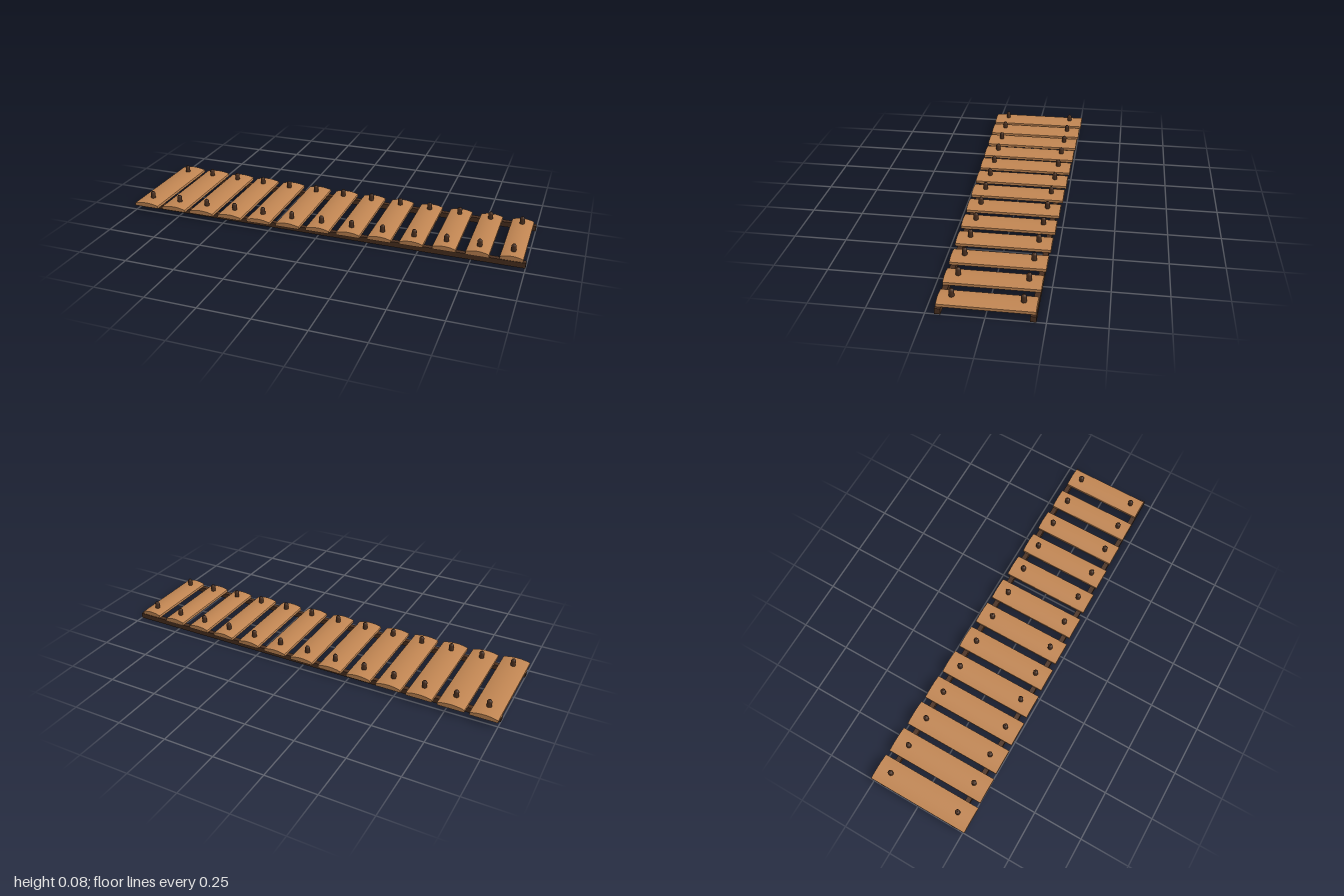
import * as THREE from 'three';

const COUNT = 13;
const lerp = THREE.MathUtils.lerp;

// Bar: flat underside, short straight sides and a gently crowned top
function barGeometry(width, length) {
  const w = width / 2, base = 0.027, side = 0.04, top = 0.05, steps = 24;
  const shape = new THREE.Shape();
  shape.moveTo(-w, base);
  shape.lineTo(w, base);
  for (let i = 0; i <= steps; i++) {
    const t = 1 - (2 * i) / steps;
    shape.lineTo(t * w, side + (top - side) * (1 - t * t));
  }
  shape.closePath();
  const geo = new THREE.ExtrudeGeometry(shape, { depth: length, bevelEnabled: false });
  geo.translate(0, 0, -length / 2);
  return geo;
}

export function createModel() {
  const model = new THREE.Group();
  model.name = 'xylophone';

  const barWood = new THREE.MeshStandardMaterial({ color: 0xc08552 });
  barWood.name = 'warm wood';
  const darkWood = new THREE.MeshStandardMaterial({ color: 0x4a3020 });
  darkWood.name = 'dark wood';

  const add = (name, geometry, material, x, y, z) => {
    const mesh = new THREE.Mesh(geometry, material);
    mesh.name = name;
    mesh.position.set(x, y, z);
    model.add(mesh);
  };

  // Two parallel rails under the bars
  const railGeo = new THREE.BoxGeometry(2, 0.027, 0.025);
  for (const s of [1, -1]) {
    add(s > 0 ? 'frontRail' : 'backRail', railGeo, darkWood, 0, 0.0135, s * 0.197);
  }

  // Peg: round pin with a chamfered tip
  const pegProfile = [[0, 0.016], [0.012, 0.016], [0.012, 0.076], [0.007, 0.084], [0, 0.084]]
    .map(([r, y]) => new THREE.Vector2(r, y));
  const pegGeo = new THREE.LatheGeometry(pegProfile, 16);

  // Bars get narrower and shorter toward +x, each held by two pegs
  for (let i = 0; i < COUNT; i++) {
    const t = i / (COUNT - 1);
    const x = lerp(-0.934, 0.934, t);
    add(`bar${i + 1}`, barGeometry(lerp(0.132, 0.106, t), lerp(0.52, 0.414, t)), barWood, x, 0, 0);
    for (const s of [1, -1]) {
      add(`${s > 0 ? 'front' : 'back'}Peg${i + 1}`, pegGeo, darkWood, x, 0, s * lerp(0.187, 0.15, t));
    }
  }
  return model;
}
